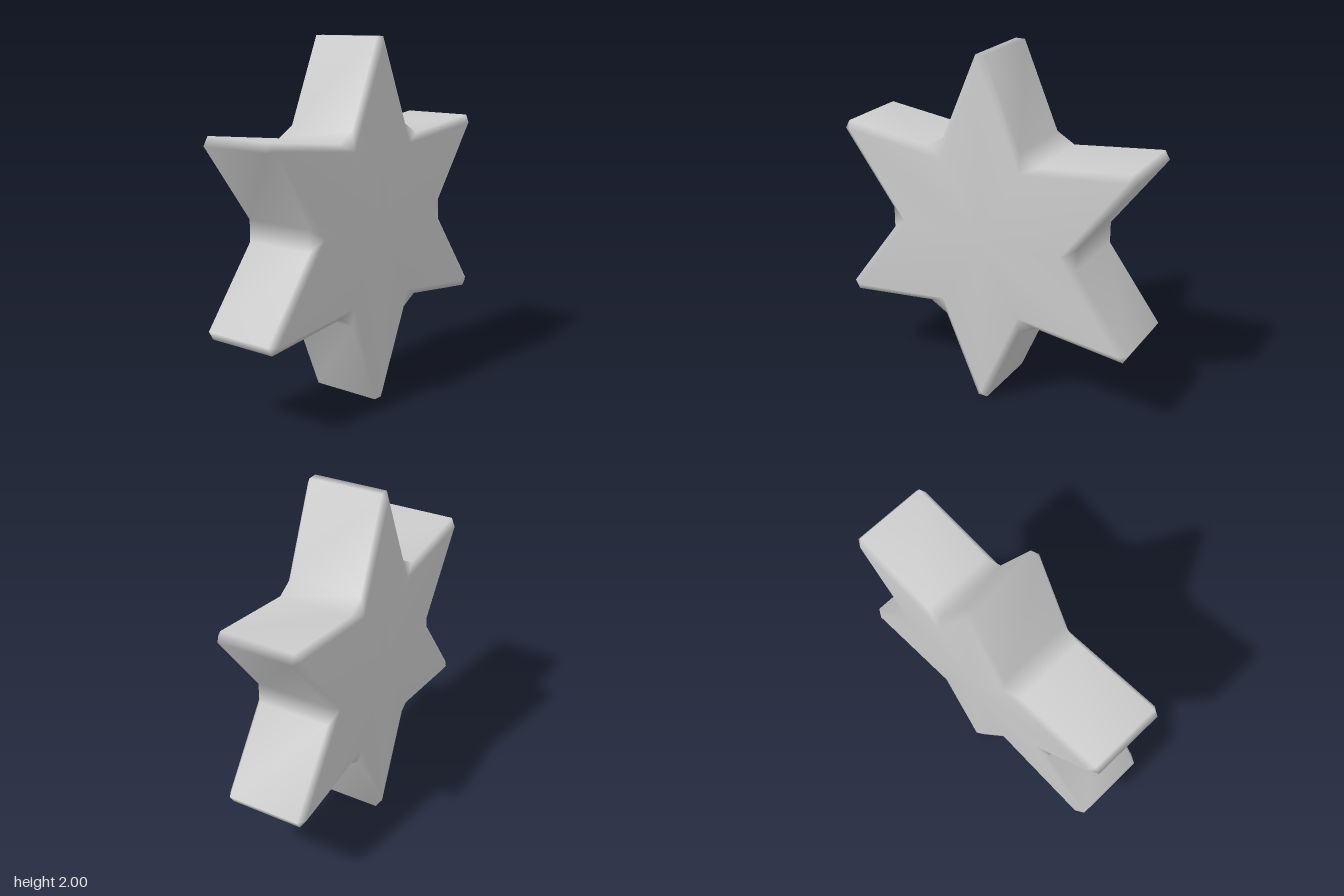
import * as THREE from 'three';

// Six-pointed star with chamfered rims, blunt tips and filled-in inner corners
function starGeometry() {
  const halfDepth = 0.235, wallZ = 0.207;
  const polar = (angle, along, across, z) => [
    along * Math.cos(angle) - across * Math.sin(angle),
    along * Math.sin(angle) + across * Math.cos(angle), z];

  // Per side: 12-corner face outline, 24-corner wall outline, centre point
  const positions = [];
  for (const side of [1, -1]) {
    for (let i = 0; i < 12; i++)
      positions.push(...polar(i * Math.PI / 6, i % 2 ? 0.963 : 0.48, 0, side * halfDepth));
    for (let i = 0; i < 12; i++) {
      const [radius, half] = i % 2 ? [1, 0.028] : [0.57, 0.06];
      for (const s of [-1, 1])
        positions.push(...polar(i * Math.PI / 6, radius, s * half, side * wallZ));
    }
    positions.push(0, 0, side * halfDepth);
  }

  const index = [];
  const back = 37;
  for (const base of [0, back]) {
    const tri = (a, b, c) => base ? index.push(base + a, base + c, base + b) : index.push(a, b, c);
    for (let i = 0; i < 12; i++) {
      const j = (i + 1) % 12;
      const a = 12 + 2 * i, b = a + 1, c = 12 + 2 * j;
      tri(36, i, j);            // flat face
      tri(i, a, b);             // corner of the chamfer
      tri(i, b, c);             // chamfer along the edge
      tri(i, c, j);
    }
  }
  // Side walls
  for (let k = 0; k < 24; k++) {
    const a = 12 + k, b = 12 + (k + 1) % 24;
    index.push(a, a + back, b + back, a, b + back, b);
  }

  const geometry = new THREE.BufferGeometry();
  geometry.setAttribute('position', new THREE.Float32BufferAttribute(positions, 3));
  geometry.setIndex(index);
  geometry.computeVertexNormals();
  return geometry;
}

export function createModel() {
  const model = new THREE.Group();
  model.name = 'sixPointedStar';
  const star = new THREE.Mesh(starGeometry(), new THREE.MeshStandardMaterial({ color: 0xcccccc }));
  star.name = 'star';
  star.position.y = 1;
  model.add(star);
  return model;
}
